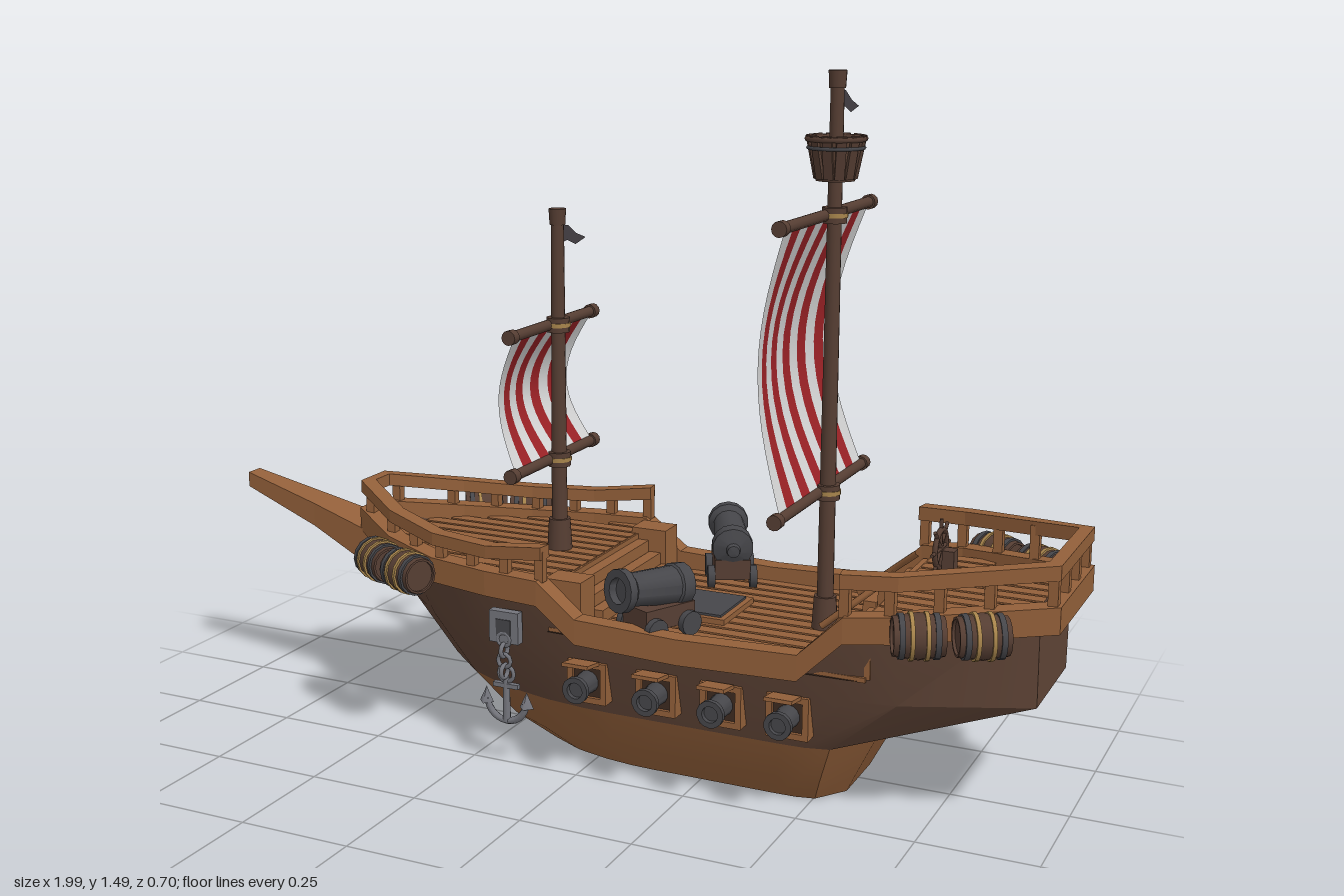
import * as THREE from 'three';
import { toCreasedNormals } from 'three/addons/utils/BufferGeometryUtils.js';

const mat = (name, color, side = THREE.FrontSide) => {
  const m = new THREE.MeshStandardMaterial({ color, side });
  m.name = name;
  return m;
};

// Hull stations from bow to stern: x, half width, height of the sheer line
const STATIONS = [
  [-0.63, 0.035, 0.46], [-0.5, 0.145, 0.44], [-0.35, 0.215, 0.43], [-0.2, 0.25, 0.43], [-0.07, 0.265, 0.43], [0.02, 0.268, 0.36],
  [0.25, 0.268, 0.352], [0.51, 0.268, 0.36], [0.6, 0.265, 0.45], [0.7, 0.25, 0.46], [0.95, 0.135, 0.485]];
// Hull levels from keel up: height, bow x, stern x, width factor
const LEVELS = [[0, -0.2, 0.55, 0.57], [0.05, -0.31, 0.575, 0.68], [0.14, -0.42, 0.62, 0.81], [0.27, -0.53, 0.95, 0.94], [null, -0.63, 0.95, 1]];
const FORE_RAIL = [[-0.63, 0.53], [-0.5, 0.505], [-0.35, 0.49], [-0.2, 0.49], [-0.06, 0.508]];
const AFT_RAIL = [[0.59, 0.54], [0.7, 0.545], [0.95, 0.572]];

function interp(table, x, k) {
  let i = 0;
  while (i < table.length - 2 && x > table[i + 1][0]) i++;
  const [a, b] = [table[i], table[i + 1]];
  return THREE.MathUtils.lerp(a[k], b[k], THREE.MathUtils.clamp((x - a[0]) / (b[0] - a[0]), 0, 1));
}
const halfWidth = x => interp(STATIONS, x, 1);
const sheer = x => interp(STATIONS, x, 2);
const mirror = pts => pts.map(([x, y, z]) => [x, y, -z]).reverse();

function quadGeometry(quads) {
  const g = new THREE.BufferGeometry();
  const pos = quads.flatMap(([a, b, c, d]) => [...a, ...b, ...c, ...a, ...c, ...d]);
  g.setAttribute('position', new THREE.Float32BufferAttribute(pos, 3));
  g.computeVertexNormals();
  return g;
}

// Rectangular beam following a path, with y as its top
function beam(pts, w, h, closed) {
  const n = pts.length;
  const rings = pts.map(([x, y, z], i) => {
    const a = pts[closed ? (i + n - 1) % n : Math.max(i - 1, 0)], b = pts[closed ? (i + 1) % n : Math.min(i + 1, n - 1)];
    const l = Math.hypot(b[0] - a[0], b[2] - a[2]);
    const nx = -(b[2] - a[2]) / l * w / 2, nz = (b[0] - a[0]) / l * w / 2;
    return [[x + nx, y - h, z + nz], [x + nx, y, z + nz], [x - nx, y, z - nz], [x - nx, y - h, z - nz]];
  });
  const quads = [];
  for (let i = 0; i < (closed ? n : n - 1); i++) {
    const A = rings[i], B = rings[(i + 1) % n];
    for (let k = 0; k < 4; k++) quads.push([A[k], B[k], B[(k + 1) % 4], A[(k + 1) % 4]]);
  }
  if (!closed) quads.push(rings[0], [...rings[n - 1]].reverse());
  return quadGeometry(quads);
}

export function createModel() {
  const ship = new THREE.Group();
  ship.name = 'sailingShip';
  const wood = mat('warmWood', 0x93603a), dark = mat('darkHullWood', 0x5f4436, THREE.DoubleSide), spar = mat('sparWood', 0x563e33);
  const gap = mat('plankGap', 0x3d2a20, THREE.DoubleSide), iron = mat('iron', 0x46464a), steel = mat('greySteel', 0x74757c);
  const white = mat('sailWhite', 0xd6d6d6, THREE.DoubleSide), red = mat('sailRed', 0x9c2226, THREE.DoubleSide);
  const rope = mat('rope', 0xa8854c), cloth = mat('flagCloth', 0x444045, THREE.DoubleSide);

  const add = (name, geo, m, p = [0, 0, 0], r = [0, 0, 0], parent = ship) => {
    const mesh = new THREE.Mesh(geo, m);
    mesh.name = name;
    mesh.position.set(...p);
    mesh.rotation.set(...r);
    parent.add(mesh);
    return mesh;
  };
  const group = (name, p, ry = 0) => {
    const g = new THREE.Group();
    g.name = name;
    g.position.set(...p);
    g.rotation.y = ry;
    ship.add(g);
    return g;
  };
  const box = (name, s, m, p, r, parent) => add(name, new THREE.BoxGeometry(...s), m, p, r, parent);
  const cyl = (name, r1, r2, h, m, p, r, parent, n = 12) => add(name, new THREE.CylinderGeometry(r1, r2, h, n), m, p, r, parent);
  const lathe = (pts, n = 14) => toCreasedNormals(new THREE.LatheGeometry(pts.map(p => new THREE.Vector2(...p)), n), 0.6);

  // Hull shell
  const point = (i, r, s) => {
    const [X, w, top] = STATIONS[i], [y, bow, stern, f] = LEVELS[r];
    const t = (X - 0.25) / 0.7, p = 1 + (0.95 - stern) * 2;
    const x = X < 0.25 ? 0.25 + (0.25 - bow) * (X - 0.25) / 0.88 : 0.25 + (stern - 0.25) * (1 - (1 - t) ** p);
    return [x, y ?? top, w * f * s];
  };
  const last = STATIONS.length - 1, lower = [], upper = [];
  for (let r = 0; r < 4; r++) {
    const q = r < 2 ? lower : upper;
    for (let i = 0; i < last; i++) {
      const side = s => [point(i, r, s), point(i + 1, r, s), point(i + 1, r + 1, s), point(i, r + 1, s)];
      q.push(side(1), side(-1).reverse());
      if (r === 0) q.push([point(i, 0, -1), point(i + 1, 0, -1), point(i + 1, 0, 1), point(i, 0, 1)]);
    }
    q.push([point(0, r, -1), point(0, r, 1), point(0, r + 1, 1), point(0, r + 1, -1)]);
    q.push([point(last, r, 1), point(last, r, -1), point(last, r + 1, -1), point(last, r + 1, 1)]);
  }
  add('lowerHull', toCreasedNormals(quadGeometry(lower), 0.45), wood);
  add('upperHull', toCreasedNormals(quadGeometry(upper), 0.45), dark);

  // Gunwale trim and rails
  const ends = x => x + (x > 0.9 ? 0.025 : x < -0.6 ? -0.015 : 0);
  const trim = STATIONS.map(([x, w, y]) => [ends(x), y + 0.005, w + 0.004]);
  add('gunwale', beam([...trim, ...mirror(trim)], 0.042, 0.055, true), wood);
  const railPath = t => t.map(([x, y]) => [ends(x), y, halfWidth(x) + 0.004]);
  const fore = railPath(FORE_RAIL), aft = railPath(AFT_RAIL);
  add('foreRail', beam([...mirror(fore), ...fore], 0.034, 0.028), wood);
  add('aftRail', beam([...aft, ...mirror(aft)], 0.034, 0.03), wood);
  const post = (x, z, top) => box('railPost', [0.02, top - sheer(x) - 0.01, 0.02], wood, [ends(x), (top + sheer(x)) / 2 - 0.005, z]);
  for (const s of [1, -1]) {
    for (let i = 0; i < 7; i++) post(-0.61 + i * 0.09, s * (halfWidth(-0.61 + i * 0.09) + 0.004), interp(FORE_RAIL, -0.61 + i * 0.09, 1));
    for (let i = 0; i < 5; i++) post(0.6 + i * 0.0875, s * (halfWidth(0.6 + i * 0.0875) + 0.004), interp(AFT_RAIL, 0.6 + i * 0.0875, 1));
    post(0.95, s * 0.045, 0.572);
  }

  // Bowsprit, tapering to its tip
  const sprit = [[-1, 0.505, 0.47, 0.022], [-0.8, 0.455, 0.4, 0.04], [-0.63, 0.41, 0.325, 0.06], [-0.5, 0.4, 0.3, 0.05]];
  const ring = ([x, t, b, w]) => [[x, b, w], [x, t, w], [x, t, -w], [x, b, -w]], bow = [ring(sprit[0])];
  for (let i = 0; i < 3; i++) {
    const A = ring(sprit[i]), B = ring(sprit[i + 1]);
    for (let k = 0; k < 4; k++) bow.push([A[k], B[k], B[(k + 1) % 4], A[(k + 1) % 4]]);
  }
  add('bowsprit', quadGeometry(bow), wood);

  // Planked decks
  const deck = (name, x0, x1, y) => {
    const xs = [x0, ...STATIONS.map(s => s[0]).filter(x => x > x0 && x < x1), x1];
    const edge = xs.map(x => new THREE.Vector2(x, halfWidth(x) - 0.005));
    const outline = [...edge, ...edge.map(v => new THREE.Vector2(v.x, -v.y)).reverse()];
    add(name + 'Base', new THREE.ShapeGeometry(new THREE.Shape(outline)), gap, [0, y - 0.008, 0], [-Math.PI / 2, 0, 0]);
    for (let i = -6; i <= 6; i++) {
      const z = i * 0.04;
      let a = x0, b = x1;
      while (a < b && halfWidth(a) < Math.abs(z) + 0.015) a += 0.005;
      while (b > a && halfWidth(b) < Math.abs(z) + 0.015) b -= 0.005;
      if (b - a > 0.03) box(name + 'Plank', [b - a, 0.01, 0.031], wood, [(a + b) / 2, y - 0.005, z]);
    }
  };
  deck('foreDeck', -0.62, -0.06, 0.418);
  deck('mainDeck', -0.06, 0.64, 0.325);
  deck('aftDeck', 0.64, 0.955, 0.452);
  box('foreBulkhead', [0.012, 0.1, 0.5], wood, [-0.062, 0.366, 0]);
  box('aftBulkhead', [0.012, 0.13, 0.5], wood, [0.642, 0.385, 0]);
  for (let i = 0; i < 3; i++) box('foreStep', [0.028, 0.08 - i * 0.026, 0.36], wood, [-0.043 + i * 0.03, 0.364 - i * 0.013, 0]);
  for (const s of [1, -1]) {
    box('stairBlock', [0.085, 0.11, 0.065], wood, [-0.03, 0.375, s * 0.215]);
    for (let i = 0; i < 4; i++) box('aftStep', [0.03, 0.105 - i * 0.026, 0.11], wood, [0.62 - i * 0.033, 0.376 - i * 0.013, s * 0.185]);
    const curve = new THREE.CatmullRomCurve3([[0.5, 0.37, 0.12], [0.57, 0.43, 0.115], [0.64, 0.49, 0.08]].map(p => new THREE.Vector3(p[0], p[1], s * p[2])));
    add('stairRail', new THREE.TubeGeometry(curve, 8, 0.008, 6), wood);
  }
  box('hatchFrame', [0.17, 0.014, 0.17], wood, [0.185, 0.33, 0]);
  box('hatchCover', [0.145, 0.02, 0.145], iron, [0.185, 0.332, 0]);

  // Steering wheel
  const wheel = group('steeringWheel', [0.71, 0.53, 0]);
  box('wheelStand', [0.025, 0.08, 0.03], spar, [0.02, -0.04, 0], undefined, wheel);
  add('wheelRim', new THREE.TorusGeometry(0.04, 0.006, 6, 16), spar, [0, 0, 0], [0, Math.PI / 2, 0], wheel);
  for (let i = 0; i < 4; i++) cyl('wheelSpoke', 0.004, 0.004, 0.125, spar, [0, 0, 0], [i * Math.PI / 4, 0, 0], wheel, 6);

  // Cannons on deck and in the gun ports
  const gun = (L, r) => lathe([[0, -0.6 * L], [r * 0.3, -0.58 * L], [r * 0.35, -0.52 * L], [r, -0.46 * L], [r, -0.3 * L], [r * 0.9, -0.28 * L],
    [r * 0.76, 0.34 * L], [r, 0.4 * L], [r, 0.5 * L], [r * 0.6, 0.5 * L], [r * 0.6, 0.4 * L], [0, 0.4 * L]]);
  for (const s of [1, -1]) {
    const c = group('deckCannon', [0.165, 0.425, s * 0.205], s > 0 ? -0.46 : Math.PI + 0.46);
    add('cannonBarrel', gun(0.18, 0.046), iron, [0, 0.008, 0.01], [Math.PI / 2 - 0.1, 0, 0], c);
    box('carriage', [0.08, 0.045, 0.13], spar, [0, -0.05, -0.01], undefined, c);
    for (const a of [1, -1]) for (const b of [-0.055, 0.035]) cyl('carriageWheel', 0.026, 0.026, 0.016, iron, [a * 0.047, -0.07, b], [0, 0, Math.PI / 2], c);
    for (const x of [0.03, 0.19, 0.335, 0.48]) {
      const port = group('gunPort', [x, 0.217, s * 0.24], s > 0 ? 0 : Math.PI);
      box('portBacking', [0.066, 0.066, 0.02], gap, [0, 0, 0], undefined, port);
      for (const d of [1, -1]) {
        box('portFrameBar', [0.09, 0.013, 0.036], wood, [0, d * 0.039, 0], undefined, port);
        box('portFrameSide', [0.013, 0.09, 0.036], wood, [d * 0.039, 0, 0], undefined, port);
      }
      box('portLid', [0.06, 0.008, 0.055], wood, [0, 0.05, 0.045], [-0.15, 0, 0], port);
      add('portCannon', gun(0.11, 0.029), iron, [0, 0, 0.017], [Math.PI / 2, 0, 0], port);
    }
    // Anchor and chain
    const a = group('anchor', [-0.16, 0, s * 0.262]);
    box('anchorPlate', [0.07, 0.07, 0.02], steel, [0, 0.315, 0], undefined, a);
    box('anchorPlateSlot', [0.035, 0.035, 0.024], iron, [0, 0.315, 0], undefined, a);
    for (let i = 0; i < 4; i++) add('chainLink', new THREE.TorusGeometry(0.015, 0.005, 6, 10), steel, [0, 0.288 - i * 0.024, 0.008], [0, i % 2 ? Math.PI / 2 : 0, 0], a);
    add('anchorRing', new THREE.TorusGeometry(0.018, 0.005, 6, 12), steel, [0, 0.208, 0], undefined, a);
    cyl('anchorShank', 0.007, 0.009, 0.1, steel, [0, 0.15, 0], undefined, a, 8);
    box('anchorStock', [0.06, 0.01, 0.012], steel, [0, 0.182, 0], undefined, a);
    add('anchorArms', new THREE.TorusGeometry(0.047, 0.008, 6, 14, Math.PI), steel, [0, 0.148, 0], [0, 0, Math.PI], a);
    for (const d of [1, -1]) add('anchorFluke', new THREE.ConeGeometry(0.017, 0.035, 4), steel, [d * 0.049, 0.155, 0], undefined, a);
    // Barrels slung along the sides
    for (const [x, y, z, t] of [[-0.49, 0.412, 0.237, 0.55], [-0.39, 0.412, 0.283, 0.42], [0.755, 0.442, 0.293, -0.42], [0.865, 0.442, 0.243, -0.5]]) {
      const b = group('barrel', [x, y, s * z], s * t * -1);
      const turn = [0, 0, Math.PI / 2];
      add('barrelBody', lathe([[0, -0.044], [0.034, -0.044], [0.034, -0.05], [0.039, -0.05], [0.046, 0], [0.039, 0.05], [0.034, 0.05], [0.034, 0.044], [0, 0.044]]), spar, [0, 0, 0], turn, b);
      for (const d of [-1, 1]) {
        cyl('barrelHoop', 0.045, 0.045, 0.011, iron, [d * 0.034, 0, 0], turn, b, 14);
        cyl('barrelRope', 0.048, 0.048, 0.008, rope, [d * 0.015, 0, 0], turn, b, 14);
      }
    }
  }

  // Masts, yards, striped sails and flags
  const mast = (name, x, base, top, y0, y1, half, stripes, bulge) => {
    cyl(name, 0.014, 0.018, top - base, spar, [x, (top + base) / 2, 0]);
    cyl('mastCap', 0.019, 0.017, 0.035, spar, [x, top - 0.017, 0]);
    cyl('mastFoot', 0.024, 0.028, 0.07, spar, [x, base + 0.035, 0]);
    for (const y of [y0, y1]) {
      cyl('yard', 0.012, 0.012, half * 2, spar, [x - 0.014, y, 0], [Math.PI / 2, 0, 0]);
      for (const s of [1, -1]) cyl('yardCap', 0.016, 0.016, 0.022, spar, [x - 0.014, y, s * (half - 0.011)], [Math.PI / 2, 0, 0]);
      cyl('yardLashing', 0.026, 0.026, 0.032, spar, [x, y, 0]);
      cyl('yardRope', 0.028, 0.028, 0.009, rope, [x, y, 0]);
    }
    const hw = half * 0.9, w = 2 * hw / stripes, h = y1 - y0 - 0.02;
    for (let i = 0; i < stripes; i++) {
      const g = new THREE.PlaneGeometry(w, h, 2, 14), p = g.attributes.position;
      for (let v = 0; v < p.count; v++) {
        const z = p.getX(v) - hw + (i + 0.5) * w, t = Math.sin(Math.PI * (p.getY(v) / h + 0.5));
        p.setXYZ(v, x - 0.014 - bulge * t * (0.72 + 0.28 * Math.cos(z / hw * Math.PI / 2)), (y0 + y1) / 2 + p.getY(v), z * (1 - 0.12 * t));
      }
      g.computeVertexNormals();
      add('sailStripe', g, i % 2 ? red : white);
    }
    const flag = [[0, 0.03], [0.05, 0.024], [0.09, 0.002], [0.135, -0.012], [0.085, -0.022], [0.045, -0.008], [0, -0.014]].map(p => new THREE.Vector2(...p));
    add('flag', new THREE.ShapeGeometry(new THREE.Shape(flag)), cloth, [x, top - 0.065, 0], [0, Math.PI / 2, 0]);
  };
  mast('foreMast', -0.165, 0.418, 1.18, 0.625, 0.927, 0.2, 9, 0.068);
  mast('mainMast', 0.465, 0.325, 1.485, 0.622, 1.198, 0.275, 11, 0.085);

  // Crow's nest
  const nest = group('crowsNest', [0.465, 1.315, 0]);
  cyl('nestFloor', 0.043, 0.04, 0.012, spar, [0, -0.042, 0], undefined, nest);
  add('nestWall', new THREE.CylinderGeometry(0.055, 0.039, 0.08, 12, 1, true), dark, [0, 0, 0], undefined, nest);
  for (let i = 0; i < 12; i++) {
    const slat = new THREE.Group();
    slat.rotation.y = i * Math.PI / 6;
    box('nestSlat', [0.02, 0.088, 0.006], spar, [0, 0, 0.049], [0.2, 0, 0], slat);
    nest.add(slat);
  }
  add('nestRim', new THREE.TorusGeometry(0.058, 0.006, 6, 16), spar, [0, 0.036, 0], [Math.PI / 2, 0, 0], nest);
  add('nestBand', new THREE.TorusGeometry(0.056, 0.004, 6, 16), iron, [0, 0.018, 0], [Math.PI / 2, 0, 0], nest);
  return ship;
}
